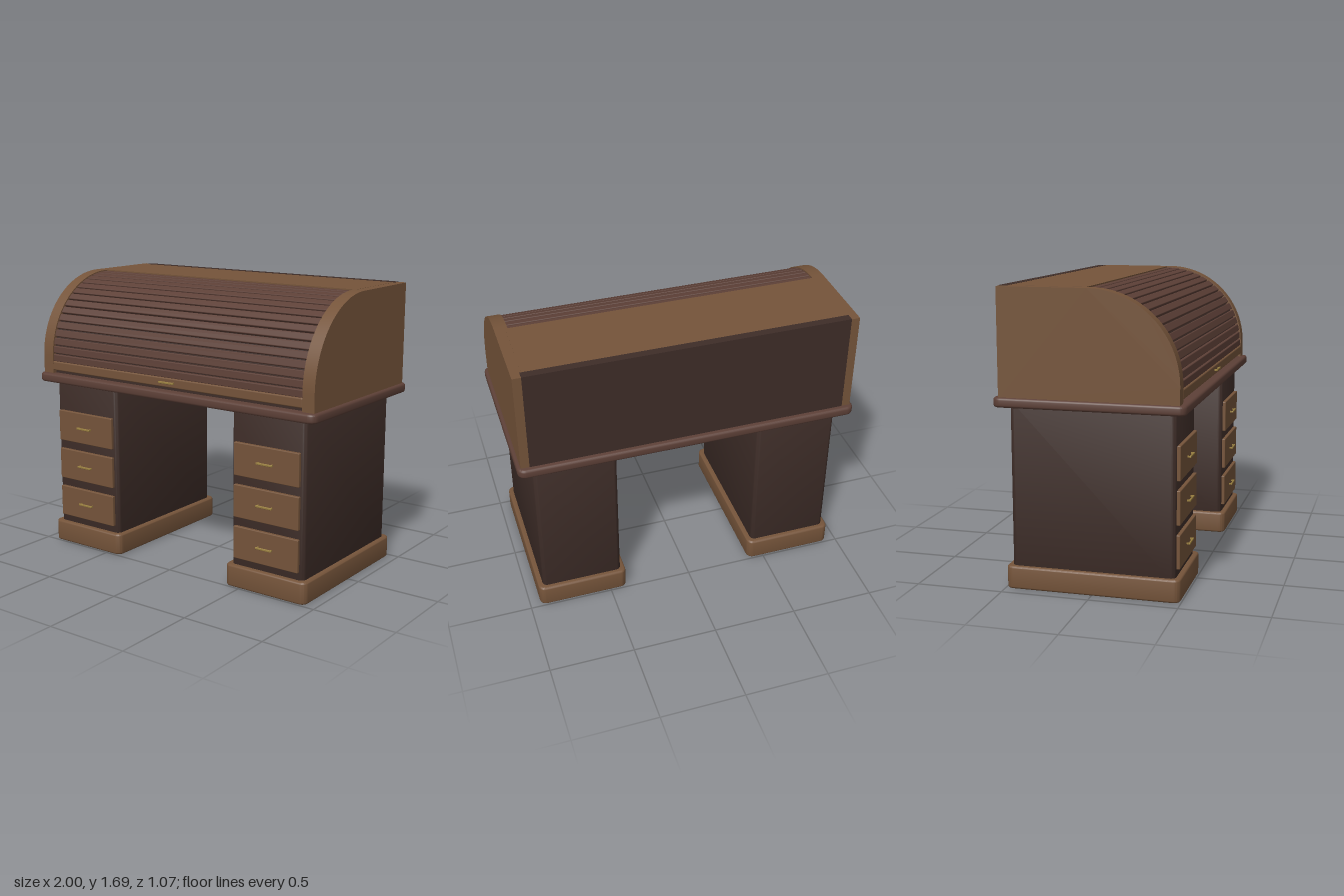
import * as THREE from 'three';
import { toCreasedNormals } from 'three/addons/utils/BufferGeometryUtils.js';
import { RoundedBoxGeometry } from 'three/addons/geometries/RoundedBoxGeometry.js';

const paint = (color) => new THREE.MeshStandardMaterial({ color });
const oak = paint(0x75543a);
const walnut = paint(0x5d4037);
const dark = paint(0x3e2d28);
const brass = paint(0x9a8040);

const ARC_Y = 1.185; // centre height of the roll-top curve

function add(parent, name, geometry, material, x = 0, y = 0, z = 0) {
  const mesh = new THREE.Mesh(geometry, material);
  mesh.name = name;
  mesh.position.set(x, y, z);
  parent.add(mesh);
  return mesh;
}

// Block standing on its own y = 0, rounded in plan, with softened top and bottom edges
function slab(w, h, d, radius, bevel) {
  const a = w / 2 - bevel, b = d / 2 - bevel, r = radius - bevel;
  const s = new THREE.Shape();
  s.moveTo(-a + r, -b).lineTo(a - r, -b);
  s.absarc(a - r, -b + r, r, -Math.PI / 2, 0);
  s.absarc(a - r, b - r, r, 0, Math.PI / 2);
  s.absarc(-a + r, b - r, r, Math.PI / 2, Math.PI);
  s.absarc(-a + r, -b + r, r, Math.PI, Math.PI * 1.5);
  const g = new THREE.ExtrudeGeometry(s, {
    depth: h - 2 * bevel, bevelEnabled: true, bevelSize: bevel, bevelThickness: bevel,
    bevelSegments: 3, curveSegments: 6,
  });
  g.rotateX(-Math.PI / 2).translate(0, bevel, 0);
  return toCreasedNormals(g, 0.7);
}

// Quarter-round roll-top profile (z, y), extruded across x and centred
function rollProfile(width, radius, back, bottom) {
  const s = new THREE.Shape();
  s.moveTo(back, bottom).lineTo(radius, bottom).lineTo(radius, ARC_Y);
  s.absarc(0, ARC_Y, radius, 0, Math.PI / 2);
  s.lineTo(back, ARC_Y + radius);
  const g = new THREE.ExtrudeGeometry(s, { depth: width, bevelEnabled: false, curveSegments: 32 });
  g.rotateY(-Math.PI / 2).translate(width / 2, 0, 0);
  return toCreasedNormals(g, 0.5);
}

// Bar pull on two posts, its back at z = 0
function makePull(name, reach) {
  const pull = new THREE.Group();
  pull.name = name;
  add(pull, 'pullBar', new RoundedBoxGeometry(0.106, 0.012, 0.009, 2, 0.003), brass, 0, 0, reach - 0.0045);
  for (const side of [-1, 1]) {
    add(pull, 'pullPost', new THREE.BoxGeometry(0.008, 0.009, reach), brass, side * 0.045, 0, reach / 2 - 0.002);
  }
  return pull;
}

function makePedestal(name, x) {
  const pedestal = new THREE.Group();
  pedestal.name = name;
  pedestal.position.x = x;
  add(pedestal, 'plinth', slab(0.54, 0.13, 0.99, 0.04, 0.012), oak);
  add(pedestal, 'cabinet', slab(0.484, 0.93, 0.93, 0.03, 0.008), dark, 0, 0.12);
  for (const y of [0.275, 0.52, 0.765]) {
    add(pedestal, 'drawerFront', new RoundedBoxGeometry(0.43, 0.192, 0.035, 2, 0.005), oak, 0, y - 0.005, 0.467);
    const pull = makePull('drawerPull', 0.023);
    pull.position.set(0, y - 0.003, 0.483);
    pedestal.add(pull);
  }
  return pedestal;
}

function makeRollTop() {
  const top = new THREE.Group();
  top.name = 'rollTop';
  for (const side of [-1, 1]) {
    add(top, 'sidePanel', rollProfile(0.075, 0.5, -0.5, 1.08), oak, side * 0.9425);
  }
  add(top, 'curtainBacking', rollProfile(1.82, 0.475, -0.45, 1.08), dark);
  add(top, 'topPanel', new THREE.BoxGeometry(1.84, 0.04, 0.45), oak, 0, 1.666, -0.24);
  add(top, 'backPanel', new THREE.BoxGeometry(1.86, 0.607, 0.047), dark, 0, 1.3835, -0.478);

  // Curtain of slats following the curve
  const slat = new RoundedBoxGeometry(1.814, 0.043, 0.024, 2, 0.005);
  const step = Math.PI / 30, radius = 0.482;
  for (let i = 0; i <= 15; i++) {
    const a = i * step;
    const mesh = add(top, 'slat', slat, walnut, 0, ARC_Y + Math.sin(a) * radius, Math.cos(a) * radius);
    mesh.rotation.x = -a;
  }
  add(top, 'liftRail', new RoundedBoxGeometry(1.814, 0.056, 0.035, 2, 0.008), oak, 0, 1.137, 0.485);
  const pull = makePull('liftPull', 0.02);
  pull.position.set(0, 1.139, 0.501);
  top.add(pull);
  return top;
}

export function createModel() {
  const desk = new THREE.Group();
  desk.name = 'rollTopDesk';
  desk.add(makePedestal('leftPedestal', 0.668), makePedestal('rightPedestal', -0.668));
  add(desk, 'deskTop', slab(2, 0.054, 1.066, 0.045, 0.014), walnut, 0, 1.036);
  desk.add(makeRollTop());
  return desk;
}
